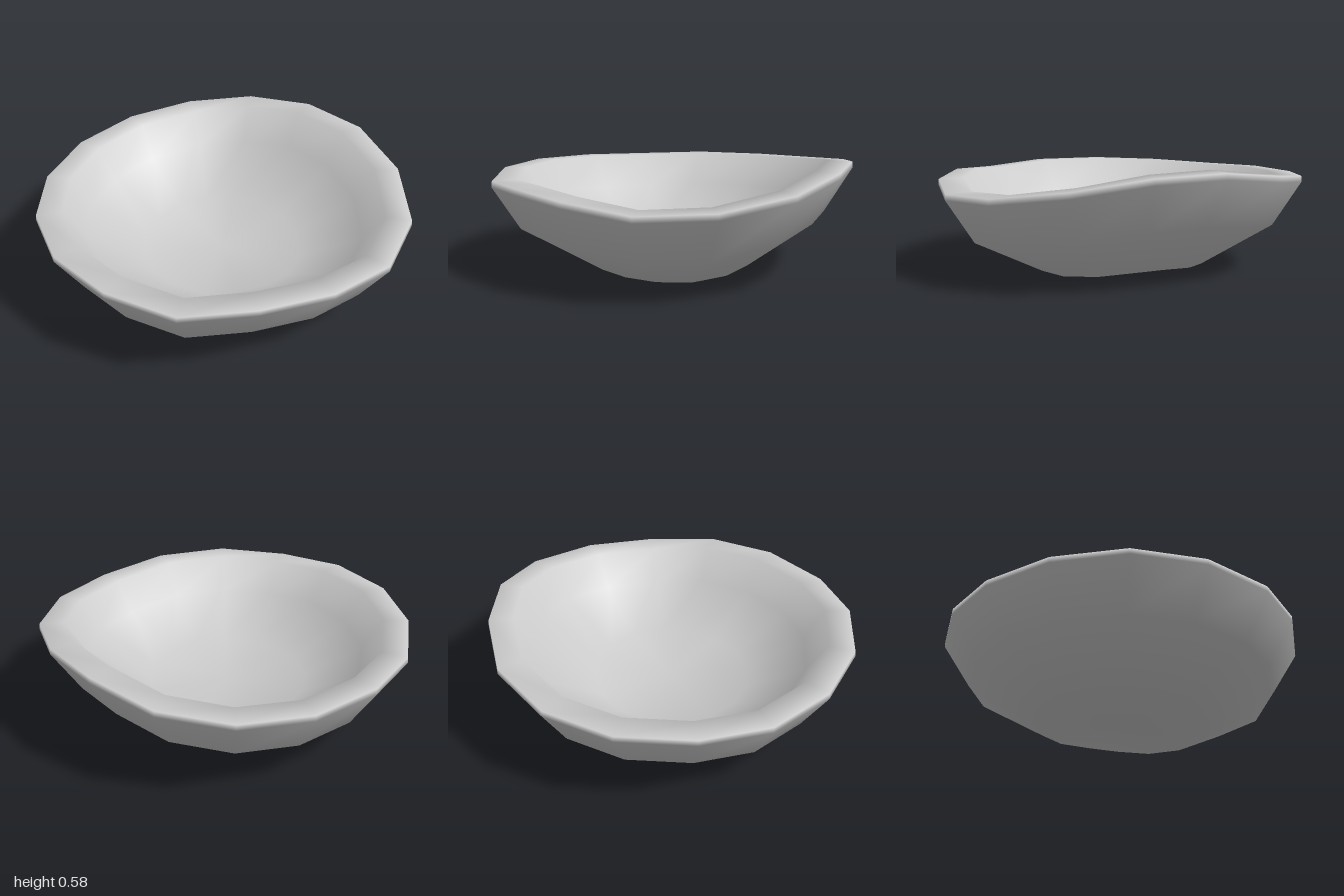
import * as THREE from 'three';

// Rim corners, counter-clockwise from the left side: x, height, z
const RIM = [
  [1, 0.46, 0], [0.9, 0.51, -0.4], [0.66, 0.57, -0.7], [0.34, 0.58, -0.89],
  [-0.03, 0.54, -0.985], [-0.4, 0.505, -0.91], [-0.71, 0.49, -0.69], [-0.92, 0.485, -0.36],
  [-1, 0.475, 0], [-0.93, 0.485, 0.37], [-0.72, 0.495, 0.69], [-0.4, 0.495, 0.9],
  [-0.03, 0.475, 0.98], [0.34, 0.495, 0.88], [0.67, 0.48, 0.68], [0.91, 0.445, 0.38],
];

// Rings from the foot, up the outside, over the lip and down the inside:
// scale of the rim outline, height, share of the rim's wave, shift in x
const RINGS = [
  [0.47, 0.005, 0.3, -0.01],
  [0.85, 0.22, 0.9, -0.005],
  [1.0, 0.452, 1, 0],
  [0.998, 0.483, 1, 0],
  [0.862, 0.489, 1, 0],
  [0.755, 0.32, 0.9, 0],
  [0.435, 0.145, 0.3, -0.01],
];
const MEAN_RIM = 0.485;

function bowlGeometry() {
  const n = RIM.length;
  const positions = [];
  const index = [];

  for (const [scale, height, wave, shift] of RINGS) {
    for (const [x, h, z] of RIM) {
      const y = Math.max(0, height + wave * (h - MEAN_RIM));
      positions.push(x * scale + shift, y, z * scale);
    }
  }

  // Walls between neighbouring rings
  for (let r = 0; r < RINGS.length - 1; r++) {
    for (let k = 0; k < n; k++) {
      const a = r * n + k;
      const b = r * n + (k + 1) % n;
      index.push(a, b, b + n, a, b + n, a + n);
    }
  }

  // Underside and inner floor, each closed to a centre point
  const under = positions.length / 3;
  positions.push(-0.01, 0.003, 0, -0.01, 0.14, 0);
  const last = (RINGS.length - 1) * n;
  for (let k = 0; k < n; k++) {
    const next = (k + 1) % n;
    index.push(under, next, k);
    index.push(under + 1, last + k, last + next);
  }

  const geometry = new THREE.BufferGeometry();
  geometry.setAttribute('position', new THREE.Float32BufferAttribute(positions, 3));
  geometry.setIndex(index);
  geometry.computeVertexNormals();
  return geometry;
}

export function createModel() {
  const group = new THREE.Group();
  group.name = 'unevenBowl';
  const bowl = new THREE.Mesh(
    bowlGeometry(),
    new THREE.MeshStandardMaterial({ color: 0xcccccc })
  );
  bowl.name = 'bowl';
  group.add(bowl);
  return group;
}
